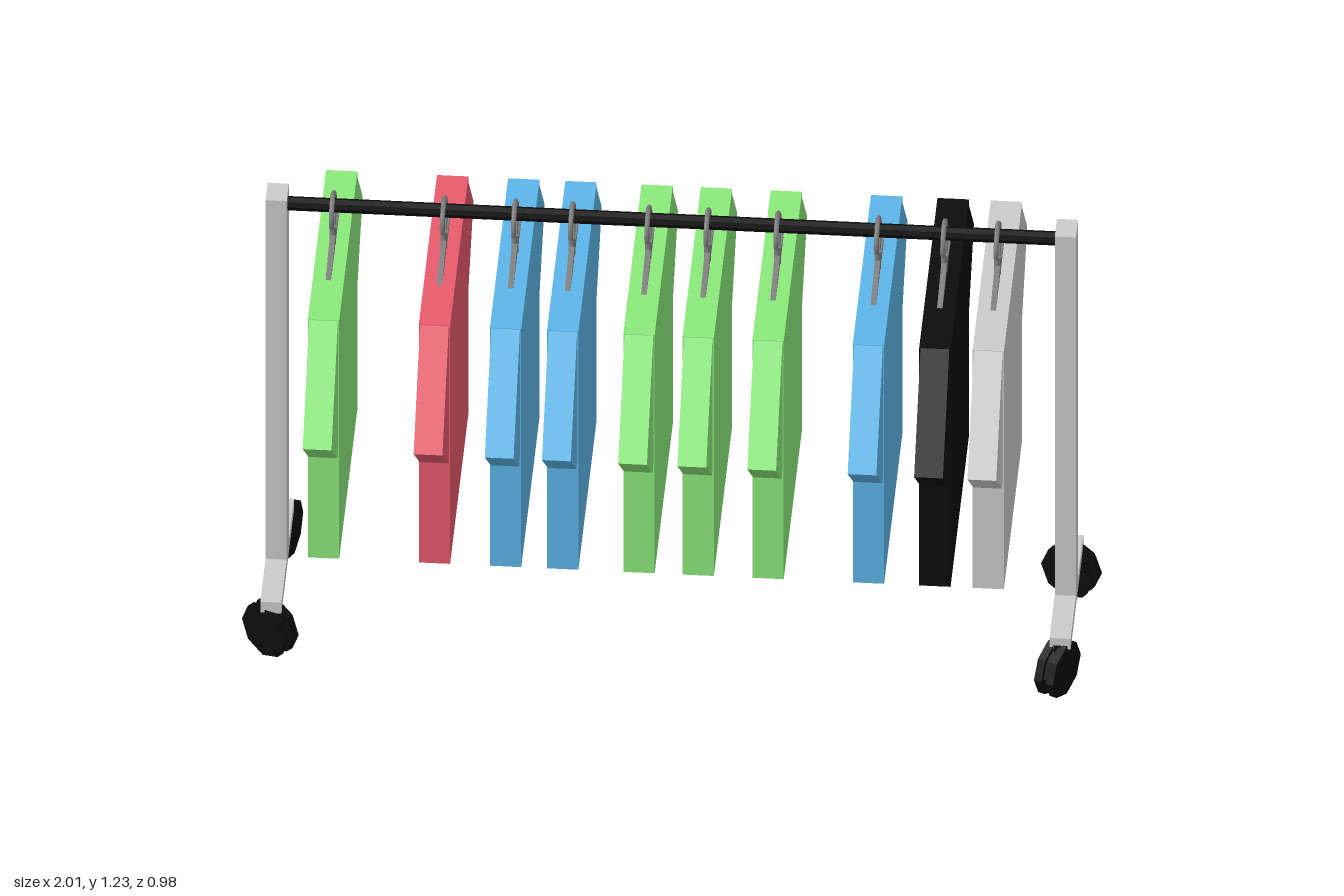
import * as THREE from 'three';

const AXIS_Z = -0.015; // depth of the posts and the rail

const mat = (color) => new THREE.MeshStandardMaterial({ color, flatShading: true });
const grey = mat(0xcccccc);
const black = mat(0x0c0c0c);
const wire = new THREE.MeshStandardMaterial({ color: 0x808080 });
const green = mat(0x8aea7a);
const blue = mat(0x5db6ea);
const red = mat(0xe85a6c);

function add(parent, name, geometry, material, x = 0, y = 0, z = 0) {
  const mesh = new THREE.Mesh(geometry, material);
  mesh.name = name;
  mesh.position.set(x, y, z);
  parent.add(mesh);
  return mesh;
}

function group(parent, name, x = 0, y = 0, z = 0) {
  const g = new THREE.Group();
  g.name = name;
  g.position.set(x, y, z);
  parent.add(g);
  return g;
}

// Panel with a (z, y) outline, given a thickness centred on x = 0
function panel(points, thickness) {
  const shape = new THREE.Shape(points.map(([z, y]) => new THREE.Vector2(-z, y)));
  const geo = new THREE.ExtrudeGeometry(shape, { depth: thickness, bevelEnabled: false });
  return geo.translate(0, 0, -thickness / 2).rotateY(Math.PI / 2);
}

const bodyGeo = new THREE.BoxGeometry(0.074, 0.71, 0.575);
const sleeveGeos = [1, -1].map((s) => panel(
  [[0.2, 1.085], [0.287, 1.089], [0.49, 0.86], [0.307, 0.695], [0.285, 0.715], [0.2, 0.79]]
    .map(([z, y]) => [s * z, y]), 0.068));

// Hanger: hook wire, neck and sloping shoulders
const hookCurve = new THREE.CatmullRomCurve3(
  [[-0.008, 1.09], [-0.012, 1.13], [-0.045, 1.155], [-0.055, 1.19], [-0.04, 1.217],
    [-0.008, 1.229], [0.027, 1.215], [0.04, 1.19], [0.036, 1.168]]
    .map(([z, y]) => new THREE.Vector3(0, y, z)));
const hookGeo = new THREE.TubeGeometry(hookCurve, 28, 0.006, 6);
const neckGeo = new THREE.CylinderGeometry(0.008, 0.008, 0.06, 8);
const shoulderGeo = panel(
  [[0, 1.119], [0.245, 1.066], [0.245, 1.05], [0, 1.095], [-0.245, 1.05], [-0.245, 1.066]], 0.013);

function addShirt(parent, x, material) {
  const shirt = group(parent, 'hangingShirt', x);
  add(shirt, 'shirtBody', bodyGeo, material, 0, 0.735, 0);
  sleeveGeos.forEach((geo, i) => add(shirt, i ? 'backSleeve' : 'frontSleeve', geo, material));
  const hanger = group(shirt, 'hanger');
  add(hanger, 'hangerHook', hookGeo, wire);
  add(hanger, 'hangerNeck', neckGeo, wire, 0, 1.11, -0.008);
  add(hanger, 'hangerShoulders', shoulderGeo, wire);
}

// Swivel caster: twin octagonal wheels around a narrower hub
const wheelGeo = new THREE.CylinderGeometry(0.07, 0.07, 0.019, 8).rotateZ(Math.PI / 2);
const hubGeo = new THREE.CylinderGeometry(0.058, 0.058, 0.02, 8).rotateZ(Math.PI / 2);
const stemGeo = new THREE.CylinderGeometry(0.012, 0.012, 0.06, 8);

function addCaster(parent, x, z, angle) {
  const caster = group(parent, 'caster', x, 0.07, z);
  caster.rotation.y = angle;
  for (const s of [-1, 1]) add(caster, 'casterWheel', wheelGeo, black, s * 0.0155);
  add(caster, 'casterHub', hubGeo, black);
  add(caster, 'casterStem', stemGeo, black, 0, 0.04, 0);
}

export function createModel() {
  const model = new THREE.Group();
  model.name = 'clothesRack';

  // Frame: two posts on feet, joined by the rail
  for (const s of [-1, 1]) {
    const side = s > 0 ? 'left' : 'right';
    add(model, side + 'Post', new THREE.BoxGeometry(0.05, 1.07, 0.068), grey, s * 0.932, 0.695, AXIS_Z);
    add(model, side + 'Foot', new THREE.BoxGeometry(0.05, 0.032, 0.4), grey, s * 0.932, 0.145, AXIS_Z);
  }
  const rail = new THREE.CylinderGeometry(0.017, 0.017, 1.83, 8).rotateZ(Math.PI / 2);
  add(model, 'rail', rail, black, 0, 1.198, AXIS_Z);

  // Each caster is swivelled its own way
  [[-0.93, -0.22, -0.22], [-0.935, 0.162, 0.85], [0.93, -0.203, 1.05], [0.925, 0.178, -0.42]]
    .forEach((c) => addCaster(model, ...c));

  // Row of shirts
  [[-0.8, green], [-0.538, red], [-0.37, blue], [-0.235, blue], [-0.055, green], [0.085, green],
    [0.25, green], [0.487, blue], [0.644, black], [0.77, grey]]
    .forEach(([x, material]) => addShirt(model, x, material));

  return model;
}
